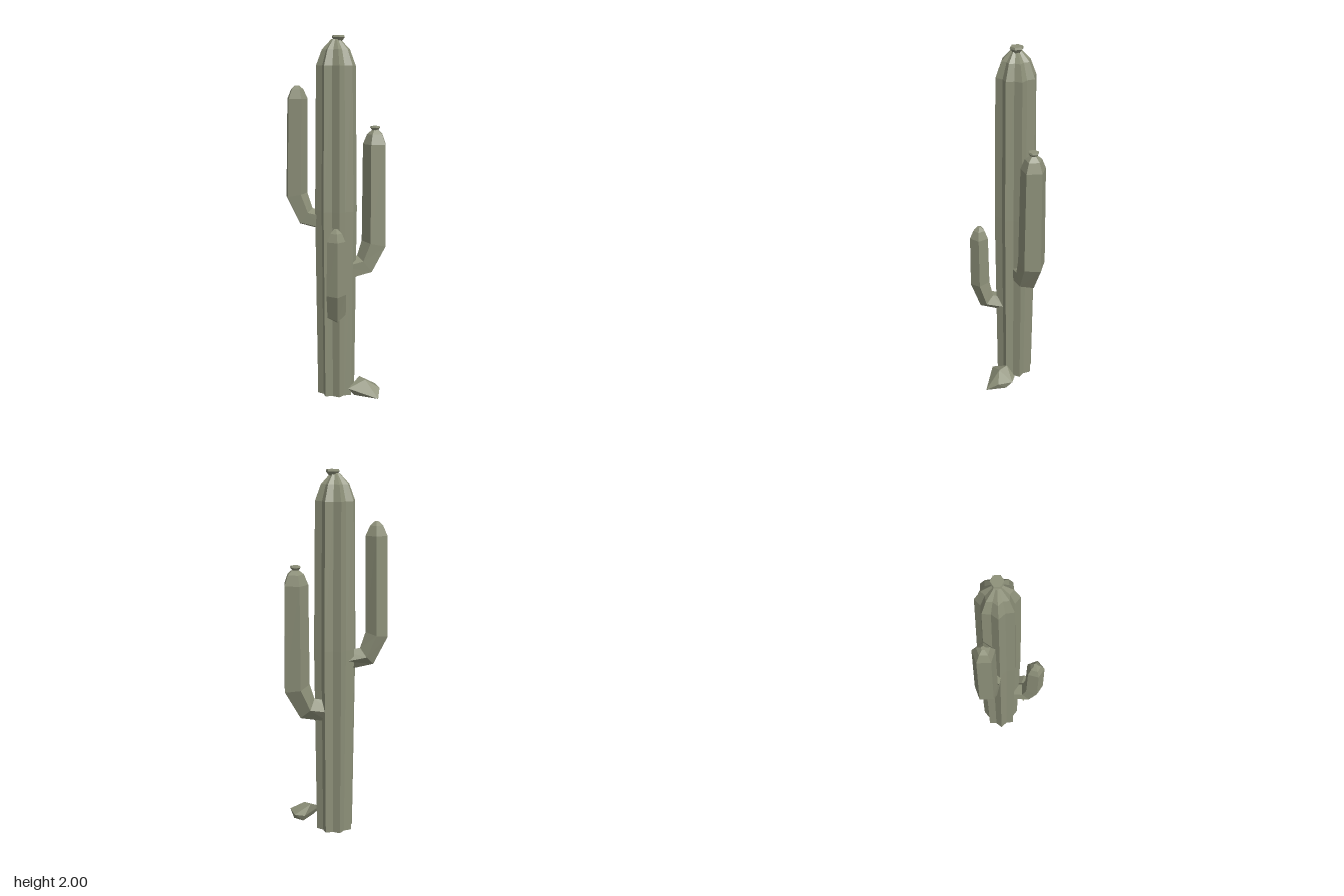
import * as THREE from 'three';
import { ConvexGeometry } from 'three/addons/geometries/ConvexGeometry.js';

const UP = new THREE.Vector3(0, 1, 0);
const V = (p) => new THREE.Vector3(...p);

// Skin a stack of equal-sized rings with flat faces and close both ends
function loft(rings) {
  const pos = [];
  const tri = (...pts) => pts.forEach((p) => pos.push(p.x, p.y, p.z));
  const n = rings[0].length;
  const middle = (ring) => ring.reduce((s, p) => s.add(p), new THREE.Vector3()).divideScalar(n);
  const first = rings[0], last = rings[rings.length - 1];
  const c0 = middle(first), c1 = middle(last);
  for (let j = 0; j < n; j++) {
    const k = (j + 1) % n;
    for (let i = 0; i < rings.length - 1; i++) {
      const a = rings[i], b = rings[i + 1];
      tri(a[j], b[j], a[k]);
      tri(a[k], b[j], b[k]);
    }
    tri(c0, first[j], first[k]);
    tri(c1, last[k], last[j]);
  }
  const g = new THREE.BufferGeometry();
  g.setAttribute('position', new THREE.Float32BufferAttribute(pos, 3));
  g.computeVertexNormals();
  return g;
}

// Ring around a centre; inner < 1 pulls in every second point to make ribs
function ring(center, radius, sides, turn = 0, dir = UP, inner = 1) {
  const q = new THREE.Quaternion().setFromUnitVectors(UP, dir);
  return Array.from({ length: sides }, (_, j) => {
    const a = THREE.MathUtils.degToRad(turn) + (j / sides) * Math.PI * 2;
    const r = j % 2 ? radius * inner : radius;
    return new THREE.Vector3(Math.cos(a) * r, 0, Math.sin(a) * r).applyQuaternion(q).add(center);
  });
}

// Five-sided arm: a bent path up to the shoulder, then a domed tip
function armGeometry(path, radii, tip, turn) {
  const pts = path.map(V);
  const dirs = pts.slice(1).map((p, i) => p.clone().sub(pts[i]).normalize());
  const rings = pts.map((p, i) => {
    let d = UP;
    if (i === 0) d = dirs[0];
    else if (i < pts.length - 1) d = dirs[i - 1].clone().add(dirs[i]).normalize();
    return ring(p, radii[i], 5, turn, d);
  });
  const end = pts[pts.length - 1];
  tip.forEach(([y, r]) => rings.push(ring(new THREE.Vector3(end.x, y, end.z), r, 5, turn)));
  return loft(rings);
}

// Small flared six-sided bud
function budGeometry(x, top, z, r) {
  const rows = [[-0.9, 0.5], [-0.3, 1], [0, 0.9]];
  return loft(rows.map(([h, s]) => ring(new THREE.Vector3(x, top + h * r, z), r * s, 6, 30)));
}

export function createModel() {
  const model = new THREE.Group();
  const green = new THREE.MeshStandardMaterial({ color: 0x8d9079 });
  green.name = 'dustyGreen';
  const add = (name, geometry) => {
    const mesh = new THREE.Mesh(geometry, green);
    mesh.name = name;
    model.add(mesh);
  };

  // Ribbed trunk with eight ridges and a domed crown
  const profile = [[0, 0.104], [1.05, 0.117], [1.84, 0.109], [1.925, 0.077], [1.98, 0.025]];
  add('trunk', loft(profile.map(([y, r]) =>
    ring(new THREE.Vector3(-0.018, y, -0.055), r, 16, 0, UP, 0.8))));
  add('trunkBud', budGeometry(-0.005, 2, -0.054, 0.037));

  // Arms
  add('leftArm', armGeometry(
    [[0.02, 0.7, -0.068], [0.15, 0.73, -0.075], [0.208, 0.85, -0.08], [0.208, 1.41, -0.082]],
    [0.062, 0.068, 0.076, 0.069], [[1.465, 0.047], [1.492, 0.015]], -95));
  add('leftArmBud', budGeometry(0.206, 1.51, -0.082, 0.029));
  add('rightArm', armGeometry(
    [[-0.07, 0.985, -0.08], [-0.18, 1.01, -0.115], [-0.23, 1.13, -0.131], [-0.222, 1.66, -0.132]],
    [0.056, 0.06, 0.064, 0.06], [[1.712, 0.036], [1.733, 0.012]], 1));
  add('frontArm', armGeometry(
    [[-0.032, 0.475, 0.01], [-0.045, 0.503, 0.105], [-0.053, 0.62, 0.14], [-0.053, 0.91, 0.143]],
    [0.05, 0.053, 0.056, 0.052], [[0.955, 0.033], [0.977, 0.012]], 18));

  // Angular stone beside the base
  add('stone', new ConvexGeometry([
    [0.025, 0.065, 0.093], [0.145, 0.06, -0.007], [0.195, 0.06, 0.023], [0.2, 0.065, 0.109],
    [0.178, 0.025, 0.175], [0.1, 0.112, 0.027], [0.123, 0.107, 0.08],
    [0.06, 0.025, 0.09], [0.15, 0.025, 0.01], [0.19, 0.025, 0.06],
  ].map(V)));

  return model;
}
